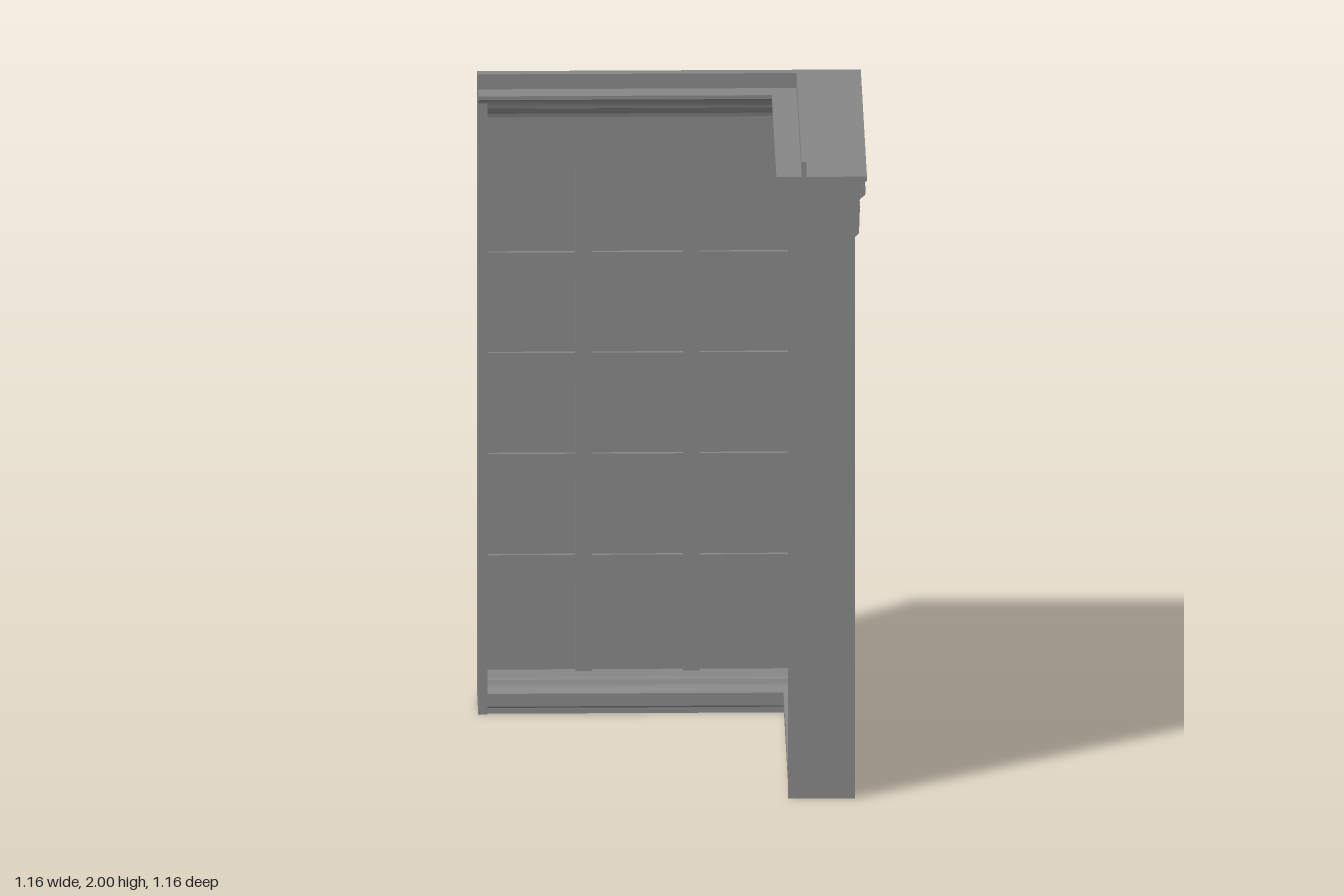
import * as THREE from 'three';
import { toCreasedNormals } from 'three/addons/utils/BufferGeometryUtils.js';

const material = new THREE.MeshStandardMaterial({ color: 0x868686 });

// Sweeps a closed section of [offset, height] points round the mitred L-shaped corner.
function sweepL(points, end) {
  const pts = points.map(([o, y]) => new THREE.Vector2(o, y));
  if (THREE.ShapeUtils.area(pts) < 0) pts.reverse();
  const n = pts.length, pos = [], index = [];
  for (const p of pts) pos.push(-end, p.y, -p.x);
  for (const p of pts) pos.push(p.x, p.y, -p.x);
  for (const p of pts) pos.push(p.x, p.y, end);
  for (let s = 0; s < 2; s++) {
    for (let i = 0; i < n; i++) {
      const a = s * n + i, b = s * n + (i + 1) % n;
      index.push(a, b, b + n, a, b + n, a + n);
    }
  }
  for (const [a, b, c] of THREE.ShapeUtils.triangulateShape(pts, [])) {
    index.push(c, b, a, a + 2 * n, b + 2 * n, c + 2 * n);
  }
  const geo = new THREE.BufferGeometry();
  geo.setAttribute('position', new THREE.Float32BufferAttribute(pos, 3));
  geo.setIndex(index);
  return toCreasedNormals(geo, 0.5);
}

const rect = (o0, o1, y0, y1) => [[o0, y0], [o1, y0], [o1, y1], [o0, y1]];

export function createModel() {
  const group = new THREE.Group();

  const add = (name, geo, x = 0, y = 0, z = 0) => {
    const mesh = new THREE.Mesh(geo, material);
    mesh.name = name;
    mesh.position.set(x, y, z);
    group.add(mesh);
  };
  const sweep = (name, points, end) => add(name, sweepL(points, end));

  // One bar in each wing: s runs along the wing, o is the offset outward
  const bars = (name, s0, s1, y0, y1, o0, o1) => {
    const s = (s0 + s1) / 2, y = (y0 + y1) / 2, o = (o0 + o1) / 2;
    add(name + 'Back', new THREE.BoxGeometry(s1 - s0, y1 - y0, o1 - o0), s, y, -o);
    add(name + 'Side', new THREE.BoxGeometry(o1 - o0, y1 - y0, s1 - s0), o, y, -s);
  };

  // Thin recessed panes, set midway between the inner and outer faces
  sweep('panes', rect(0.444, 0.454, 0.05, 1.8), 0.56);

  // Plinth with stepped inner moulding and bevelled outer edge
  sweep('plinth', [
    [0.352, 0], [0.543, 0], [0.543, 0.09], [0.535, 0.098], [0.515, 0.102], [0.508, 0.112],
    [0.41, 0.112], [0.405, 0.1], [0.385, 0.096], [0.38, 0.082], [0.362, 0.08],
    [0.356, 0.068], [0.342, 0.065], [0.342, 0.025], [0.352, 0.018],
  ], 0.556);

  // Stiles, rails and the wide stiles meeting at the corner
  for (const s of [-0.285, 0.04]) bars('stile', s, s + 0.05, 0.1, 1.72, 0.425, 0.485);
  for (const y of [0.395, 0.713, 1.03, 1.346]) bars('rail', -0.56, 0.38, y, y + 0.08, 0.43, 0.479);
  bars('cornerStile', 0.372, 0.49, 0.1, 1.73, 0.425, 0.49);

  // Boards closing both free ends
  bars('endBoard', -0.579, -0.551, 0, 1.946, 0.341, 0.543);

  // Architrave and inner frieze
  sweep('architrave', [
    [0.385, 1.71], [0.515, 1.71], [0.523, 1.718], [0.523, 1.75], [0.53, 1.77],
    [0.53, 1.88], [0.385, 1.88],
  ], 0.556);

  // Outer frieze
  sweep('frieze', [
    [0.5, 1.765], [0.545, 1.765], [0.555, 1.775], [0.558, 1.862], [0.5, 1.862],
  ], 0.577);

  // Cornice with a curved outer crown and a thin-lipped inner crown
  const outer = [[0.555, 1.86], [0.556, 1.87], [0.555, 1.878], [0.562, 1.886],
    [0.571, 1.893], [0.575, 1.902], [0.573, 1.911], [0.563, 1.918], [0.564, 1.927],
    [0.57, 1.935], [0.579, 1.939], [0.579, 1.953]];
  const inner = [[0.306, 1.953], [0.306, 1.941], [0.32, 1.936], [0.335, 1.93],
    [0.345, 1.915], [0.348, 1.902], [0.36, 1.898], [0.368, 1.885], [0.375, 1.878], [0.378, 1.866]];
  sweep('cornice', [...outer, ...inner], 0.579);

  // Thin upstand on top
  sweep('topUpstand', rect(0.382, 0.396, 1.94, 2), 0.58);

  return group;
}
